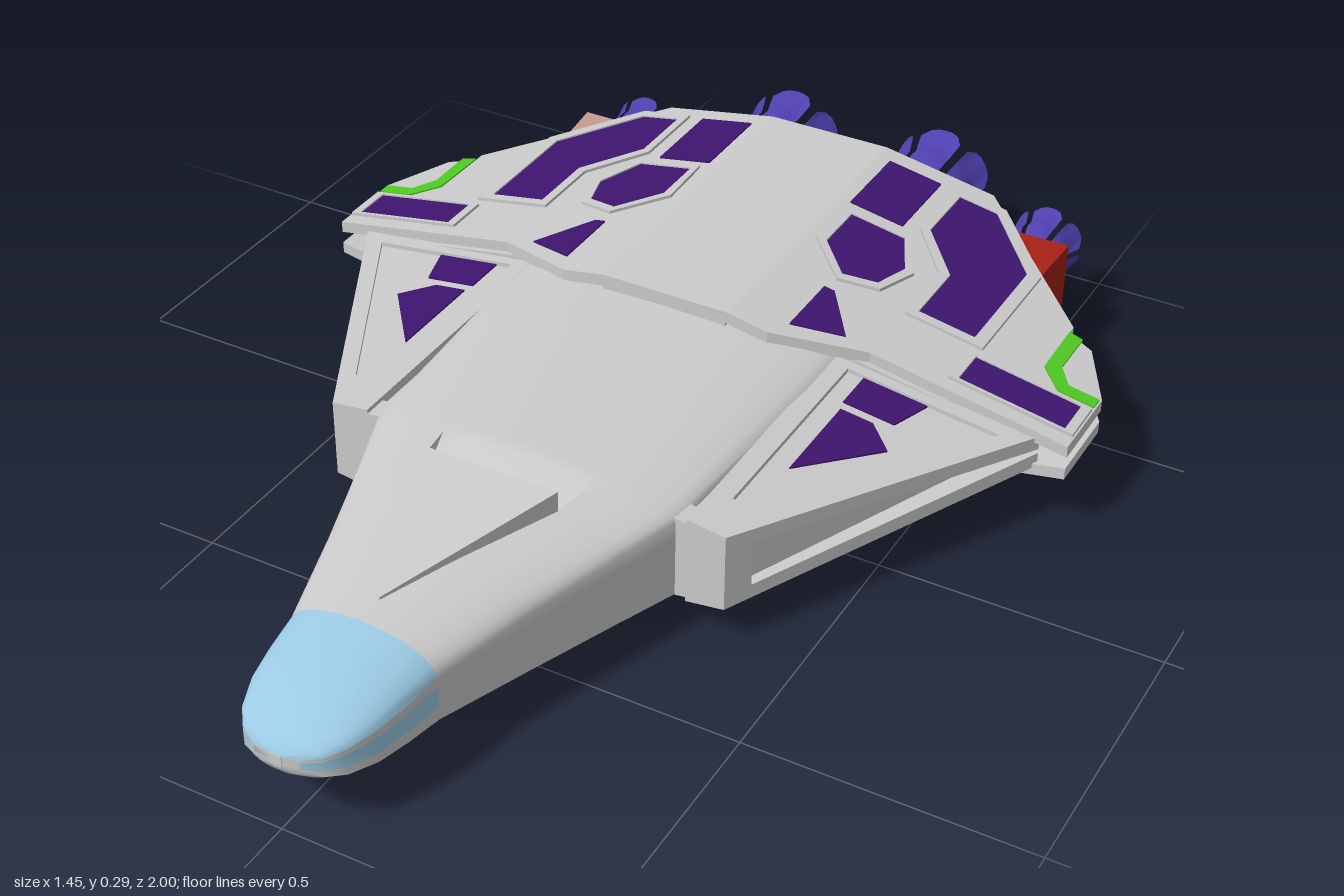
import * as THREE from 'three';
import { toCreasedNormals } from 'three/addons/utils/BufferGeometryUtils.js';

const GREY = 0xcccccc, PURPLE = 0x3f1570, NAVY = 0x15226e, TEAL = 0x376b70;
const GREEN = 0x4fcc22, GLASS = 0x9ccbe4, VIOLET = 0x5040b0;
const MID = 0.292; // sum of matching upper and lower heights

const mat = (color) => new THREE.MeshStandardMaterial({ color, side: THREE.DoubleSide });

function add(parent, name, geo, color = GREY) {
  const mesh = new THREE.Mesh(geo, mat(color));
  mesh.name = name;
  parent.add(mesh);
  return mesh;
}

// Plan outline of [x, z] points (optional hole) filled between two height rules
function slab(pts, side, bottom, top, hole) {
  const v = (list) => list.map(([x, z]) => new THREE.Vector2(x * side, -z));
  const shape = new THREE.Shape(v(pts));
  if (hole) shape.holes.push(new THREE.Path(v(hole)));
  const geo = new THREE.ExtrudeGeometry(shape, { depth: 1, bevelEnabled: false });
  geo.rotateX(-Math.PI / 2);
  const p = geo.attributes.position;
  for (let i = 0; i < p.count; i++) {
    const x = Math.abs(p.getX(i)), z = p.getZ(i);
    p.setY(i, p.getY(i) > 0.5 ? top(x, z) : bottom(x, z));
  }
  geo.computeVertexNormals();
  return geo;
}

// Sloping skins of the front wings and of the rear deck
const wingY = (x) => 0.262 - 0.14 * x;
const deckY = (x) => 0.29 - 0.183 * Math.max(0, x - 0.12);

// A layer from lo to hi above a skin; mirrored left/right and, if asked, below
function layer(parent, name, pts, skin, lo, hi, color = GREY, below = color, hole) {
  for (const side of [1, -1]) {
    add(parent, name + 'Upper', slab(pts, side, (x) => skin(x) + lo, (x) => skin(x) + hi, hole), color);
    if (below !== null) {
      add(parent, name + 'Lower',
        slab(pts, side, (x) => MID - skin(x) - hi, (x) => MID - skin(x) - lo, hole), below);
    }
  }
}

// Outline grown or shrunk about its centre
function grow(pts, d) {
  const c = [0, 1].map((k) => pts.reduce((s, p) => s + p[k], 0) / pts.length);
  return pts.map(([x, z]) => {
    const l = Math.hypot(x - c[0], z - c[1]);
    return [x + (x - c[0]) / l * d, z + (z - c[1]) / l * d];
  });
}

// Fuselage stations: z, half width, crown, side top, side bottom, keel, recess
const STATIONS = [
  [1.0, 0.012, 0.15, 0.147, 0.13, 0.125, 0],
  [0.995, 0.04, 0.16, 0.15, 0.125, 0.115, 0],
  [0.98, 0.07, 0.173, 0.155, 0.12, 0.105, 0],
  [0.95, 0.093, 0.188, 0.16, 0.112, 0.09, 0],
  [0.9, 0.112, 0.206, 0.165, 0.105, 0.077, 0],
  [0.84, 0.123, 0.22, 0.17, 0.1, 0.062, 0],
  [0.77, 0.132, 0.232, 0.175, 0.095, 0.05, 0],
  [0.6, 0.182, 0.248, 0.192, 0.082, 0.028, 0],
  [0.412, 0.245, 0.258, 0.207, 0.074, 0.022, 0],
  [0.41, 0.246, 0.258, 0.207, 0.074, 0.022, 0.035],
  [0.33, 0.274, 0.261, 0.213, 0.071, 0.02, 0],
  [0.3, 0.285, 0.262, 0.215, 0.07, 0.02, 0],
  [-0.1, 0.31, 0.265, 0.22, 0.068, 0.02, 0],
  [-0.3, 0.31, 0.265, 0.22, 0.068, 0.02, 0],
];
const HALF = [1, 0.98, 0.93, 0.85, 0.75, 0.64, 0.53, 0.5, 0.3];
const ACROSS = [...HALF, 0, ...HALF.map((t) => -t).reverse()];
const N = ACROSS.length;

function ring([z, w, crown, st, sb, keel, dip]) {
  const h = st - sb;
  const wall = (s) => [[s * w, st - 0.2 * h, z], [s * w, sb + 0.3 * h, z], [s * w, sb, z]];
  return [
    ...ACROSS.map((t) => [t * w, st + (crown - st) * Math.sqrt(1 - t * t) - (Math.abs(t) <= 0.5 ? dip : 0), z]),
    ...wall(-1),
    ...ACROSS.slice(1, -1).reverse().map((t) => [t * w, sb - (sb - keel) * (1 - Math.abs(t) ** 3), z]),
    ...wall(1).reverse(),
  ];
}

// Skin over ring columns c0..c1 and stations s0..s1
function skin(c0, c1, s0, s1) {
  const pos = [], idx = [], w = c1 - c0 + 1;
  for (let s = s0; s <= s1; s++) {
    const r = ring(STATIONS[s]);
    for (let c = c0; c <= c1; c++) pos.push(...r[c % r.length]);
  }
  for (let s = 0; s < s1 - s0; s++) {
    for (let c = 0; c < w - 1; c++) {
      const a = s * w + c, b = a + w;
      idx.push(a, b, a + 1, a + 1, b, b + 1);
    }
  }
  const geo = new THREE.BufferGeometry();
  geo.setAttribute('position', new THREE.Float32BufferAttribute(pos, 3));
  geo.setIndex(idx);
  return toCreasedNormals(geo, 0.6);
}

// Thruster: neck, inner cup and six flared petals, pointing to -z
function thruster(x, z, scale) {
  const g = new THREE.Group();
  g.name = 'thruster';
  const v = (list) => list.map(([r, y]) => new THREE.Vector2(r, y));
  const back = (geo) => geo.rotateX(-Math.PI / 2);
  add(g, 'neck', back(new THREE.LatheGeometry(v(
    [[0, 0], [0.06, 0], [0.06, 0.012], [0.04, 0.02], [0.04, 0.035], [0.055, 0.05], [0.055, 0.08], [0.04, 0.08], [0.025, 0.05], [0, 0.045]]), 20)), VIOLET);
  const wide = 0.86;
  for (let i = 0; i < 6; i++) {
    const mid = i * Math.PI / 3;
    const geo = new THREE.LatheGeometry(v(
      [[0.045, 0.03], [0.068, 0.05], [0.08, 0.075], [0.083, 0.11], [0.082, 0.135], [0.098, 0.17]]), 6, mid - wide / 2, wide);
    const p = geo.attributes.position;
    for (let k = 0; k < p.count; k++) {
      const off = Math.atan2(p.getX(k), p.getZ(k)) - mid;
      const u = Math.atan2(Math.sin(off), Math.cos(off)) / (wide / 2);
      if (p.getY(k) > 0.1) p.setY(k, p.getY(k) - 0.025 * u ** 4);
    }
    geo.computeVertexNormals();
    add(g, 'petal', back(geo), VIOLET);
  }
  g.position.set(x, MID / 2, z);
  g.scale.setScalar(scale);
  return g;
}

// Square engine collar with rounded corners and a round bore
function collar(w, h, depth, bore) {
  const r = 0.03, s = new THREE.Shape();
  s.absarc(w - r, h - r, r, 0, Math.PI / 2);
  s.absarc(r - w, h - r, r, Math.PI / 2, Math.PI);
  s.absarc(r - w, r - h, r, Math.PI, Math.PI * 1.5);
  s.absarc(w - r, r - h, r, Math.PI * 1.5, Math.PI * 2);
  s.holes.push(new THREE.Path().absarc(0, 0, bore, 0, Math.PI * 2, true));
  return new THREE.ExtrudeGeometry(s, { depth, bevelEnabled: false, curveSegments: 6 });
}

export function createModel() {
  const ship = new THREE.Group();
  ship.name = 'spacecraft';

  // Fuselage with glazed nose
  const last = STATIONS.length - 1, end = 2 * N + 4, glassEnd = 6;
  add(ship, 'fuselage', skin(0, end, glassEnd, last));
  add(ship, 'canopy', skin(0, N - 1, 0, glassEnd), GLASS);
  add(ship, 'noseLower', skin(N + 1, end - 1, 0, glassEnd));
  add(ship, 'windowRailRight', skin(N - 1, N, 0, glassEnd));
  add(ship, 'windowRailLeft', skin(end - 1, end, 0, glassEnd));
  add(ship, 'sideWindowRight', skin(N, N + 1, 1, glassEnd).scale(1.004, 1, 1), GLASS);
  add(ship, 'sideWindowLeft', skin(end - 2, end - 1, 1, glassEnd).scale(1.004, 1, 1), GLASS);
  add(ship, 'noseTip', new THREE.BoxGeometry(0.022, 0.02, 0.004).translate(0, 0.138, 0.998));

  // Dorsal scoop and belly hatch
  for (const s of [1, -1]) {
    add(ship, 'scoop', slab([[0, 0.72], [0.13, 0.415], [0, 0.415]], s,
      () => 0.215, (x, z) => 0.287 - (z - 0.415) * 0.15));
    add(ship, 'bellyHatch', slab([[0, 0.45], [0.11, 0.45], [0.17, 0.1], [0, 0.1]], s, () => 0.014, () => 0.03));
  }

  // Core between the upper and lower skins
  for (const s of [1, -1]) {
    const fill = (name, pts, f, d) => add(ship, name, slab(pts, s, (x) => MID - f(x) + d, (x) => f(x) - d));
    fill('wingCore', [[0.25, 0.29], [0.36, 0.29], [0.605, -0.2], [0.605, -0.25], [0.25, -0.25]], wingY, 0.01);
    fill('wingFrontBlock', [[0.27, 0.31], [0.37, 0.31], [0.395, 0.265], [0.27, 0.265]], wingY, 0);
    fill('rearCore', [[0.12, -0.22], [0.6, -0.22], [0.59, -0.5], [0.5, -0.62], [0.33, -0.78], [0.12, -0.78]], deckY, 0.02);
    fill('rearCoreMiddle', [[0, -0.22], [0.12, -0.22], [0.12, -0.78], [0, -0.78]], deckY, 0.02);
  }

  // Front wing plates with raised rims
  const wing = [[0.3, 0.31], [0.37, 0.31], [0.672, -0.24], [0.3, -0.24]];
  layer(ship, 'wingPlate', wing, wingY, -0.018, 0);
  layer(ship, 'wingRim', wing, wingY, -0.002, 0.008, GREY, GREY,
    [[0.335, 0.22], [0.385, 0.22], [0.615, -0.2], [0.335, -0.2]]);

  // Rear deck plates
  layer(ship, 'deckMiddle', [[0, -0.16], [0.12, -0.16], [0.12, -0.81], [0, -0.81]], deckY, -0.03, 0);
  layer(ship, 'deckSide', [[0.12, -0.16], [0.2, -0.16], [0.36, -0.23], [0.725, -0.23], [0.725, -0.385],
    [0.66, -0.5], [0.61, -0.52], [0.61, -0.54], [0.53, -0.62], [0.34, -0.81], [0.12, -0.81]], deckY, -0.022, 0);

  // Coloured panels: name, skin, upper colour, lower colour, framed, outline
  const panels = [
    ['largePanel', deckY, PURPLE, NAVY, false,
      [[0.487, -0.62], [0.37, -0.755], [0.296, -0.755], [0.296, -0.62], [0.38, -0.52], [0.38, -0.386], [0.487, -0.386]]],
    ['hexPanel', deckY, PURPLE, TEAL, true,
      [[0.31, -0.48], [0.27, -0.565], [0.165, -0.565], [0.165, -0.46], [0.23, -0.39], [0.29, -0.41]]],
    ['rearPanel', deckY, PURPLE, null, false, [[0.25, -0.77], [0.145, -0.77], [0.145, -0.6], [0.25, -0.6]]],
    ['frontPanel', deckY, PURPLE, null, false, [[0.31, -0.24], [0.24, -0.34], [0.22, -0.34], [0.22, -0.205]]],
    ['tipPanel', deckY, PURPLE, null, true, [[0.705, -0.34], [0.51, -0.34], [0.51, -0.265], [0.705, -0.265]]],
    ['wingRearPanel', wingY, PURPLE, NAVY, false, [[0.5, -0.25], [0.365, -0.25], [0.365, -0.12], [0.46, -0.12]]],
    ['wingFrontPanel', wingY, PURPLE, null, false, [[0.48, -0.05], [0.43, -0.1], [0.37, -0.1], [0.37, 0.09]]],
    ['greenStripe', deckY, GREEN, GREEN, false, [[0.61, -0.52], [0.637, -0.515], [0.637, -0.42],
      [0.665, -0.38], [0.722, -0.38], [0.722, -0.355], [0.655, -0.355], [0.612, -0.4]]],
  ];
  for (const [name, f, up, low, framed, pts] of panels) {
    layer(ship, name, pts, f, -0.004, 0.003, up, low);
    if (framed) layer(ship, name + 'Frame', grow(pts, 0.018), f, -0.004, 0.006, GREY, low === null ? null : GREY, pts);
  }
  layer(ship, 'largePanelFrame',
    [[0.51, -0.63], [0.38, -0.775], [0.28, -0.775], [0.28, -0.612], [0.362, -0.512], [0.362, -0.368], [0.51, -0.368]],
    deckY, -0.004, 0.006, GREY, GREY, panels[0][5]);

  // Engines
  for (const [s, big, small] of [[1, 0x5e1e14, 0xa52015], [-1, 0xa0695c, 0xc49a90]]) {
    add(ship, 'mainEngineCollar', collar(0.115, 0.095, 0.065, 0.075).translate(s * 0.16, MID / 2, -0.838), big);
    ship.add(thruster(s * 0.16, -0.83, 1));
    const house = new THREE.CylinderGeometry(0.095, 0.078, 0.17, 4, 1).rotateY(Math.PI / 4).rotateX(-Math.PI / 2);
    add(ship, 'outerEngineHousing', house.toNonIndexed().translate(s * 0.44, MID / 2, -0.685), small)
      .geometry.computeVertexNormals();
    ship.add(thruster(s * 0.43, -0.765, 0.68));
  }
  return ship;
}
